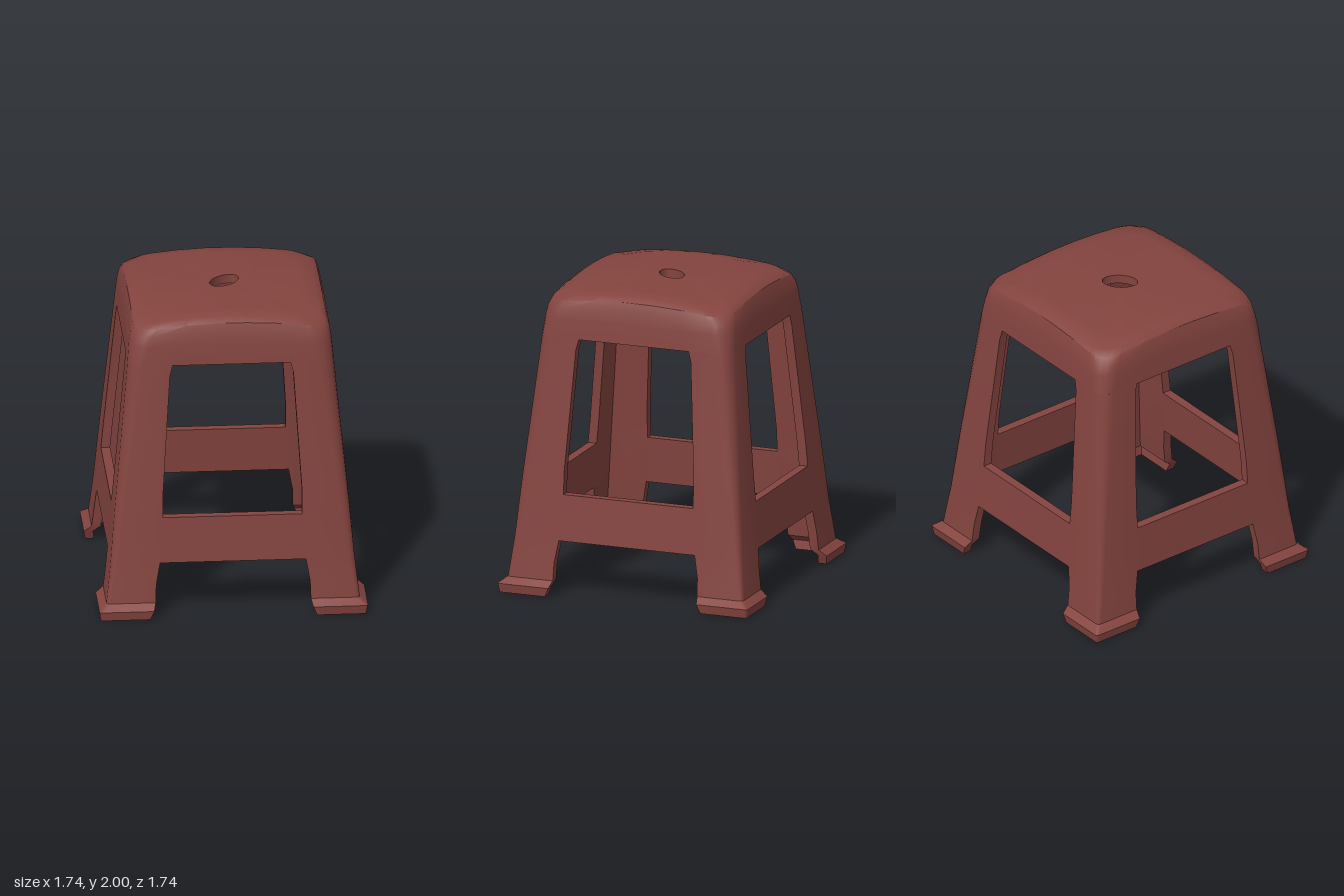
import * as THREE from 'three';
import { toCreasedNormals } from 'three/addons/utils/BufferGeometryUtils.js';

const WALL = 0.06;

// Skin over a list of closed rings; optionally closes the first ring with a flat face.
function loft(rings, capStart = false) {
  const n = rings[0].length;
  const index = [];
  for (let j = 0; j < rings.length - 1; j++) {
    for (let i = 0; i < n; i++) {
      const p = j * n + i, p1 = j * n + (i + 1) % n;
      index.push(p, p + n, p1, p1, p + n, p1 + n);
    }
  }
  if (capStart) {
    const outline = rings[0].map(v => new THREE.Vector2(v.x, v.z));
    index.push(...THREE.ShapeUtils.triangulateShape(outline, []).flat());
  }
  const geo = new THREE.BufferGeometry().setFromPoints(rings.flat());
  geo.setIndex(index);
  return toCreasedNormals(geo, 0.55);
}

// Leg heights: [y, outer half width, inner edge of the leg, corner radius]
const LEG = [
  [0, 0.86, 0.54, 0.015],
  [0.06, 0.87, 0.515, 0.015],
  [0.1, 0.82, 0.502, 0.025],
  [0.22, 0.806, 0.498, 0.03],
  [0.365, 0.79, 0.472, 0.04],
  [0.67, 0.764, 0.45, 0.055],
  [0.83, 0.749, 0.45, 0.06],
  [1.62, 0.673, 0.4, 0.095],
  [1.69, 0.667, 0.382, 0.1],
];

// L-shaped section with a rounded outer corner
function legRing([y, w, a, r]) {
  const pts = [new THREE.Vector3(w, y, a)];
  for (let i = 0; i <= 4; i++) {
    const t = (i / 4) * Math.PI / 2;
    pts.push(new THREE.Vector3(w - r + r * Math.cos(t), y, w - r + r * Math.sin(t)));
  }
  const k = w - WALL;
  pts.push(new THREE.Vector3(a, y, w), new THREE.Vector3(a, y, k),
    new THREE.Vector3(k, y, k), new THREE.Vector3(k, y, a));
  return pts;
}

// Rounded square ring; droop lowers it towards the corners
function seatRing([w, y, r, droop = 0]) {
  const pts = [];
  const c = w - r;
  const add = (x, z, q) => {
    const s = Math.min(Math.abs(x), Math.abs(z)) / w;
    const v = new THREE.Vector3(x, y - droop * s * s, z);
    pts.push(v.applyAxisAngle(new THREE.Vector3(0, 1, 0), -q * Math.PI / 2));
  };
  for (let q = 0; q < 4; q++) {
    for (const f of [-0.6, -0.2, 0.2, 0.6]) add(w, c * f, q);
    for (let i = 0; i <= 5; i++) {
      const t = (i / 5) * Math.PI / 2;
      add(c + r * Math.cos(t), c + r * Math.sin(t), q);
    }
  }
  return pts;
}

// Slanted oval hole, sharing the angles of the seat ring
function holeRing(y, guide) {
  return guide.map(v => {
    const t = Math.atan2(v.z, v.x) + Math.PI / 4;
    const u = 0.115 * Math.cos(t), s = 0.074 * Math.sin(t);
    return new THREE.Vector3((u + s) * Math.SQRT1_2, y, (s - u) * Math.SQRT1_2);
  });
}

function seatGeometry() {
  const outside = [
    [0.667, 1.69, 0.1],
    [0.656, 1.82, 0.12, 0.01],
    [0.645, 1.9, 0.13, 0.03],
    [0.625, 1.96, 0.14, 0.05],
    [0.585, 1.99, 0.15, 0.05],
    [0.48, 2.0, 0.16, 0.025],
  ].map(seatRing);
  const inside = [
    [0.48, 1.94, 0.14, 0.025],
    [0.57, 1.91, 0.1, 0.05],
    [0.595, 1.82, 0.07, 0.01],
    [0.607, 1.69, 0.02],
  ].map(seatRing);
  const guide = outside[5];
  return loft([...outside, holeRing(2.0, guide), holeRing(1.94, guide), ...inside, outside[0]]);
}

// Crossbar between two legs, following the slope of their faces
function railGeometry() {
  const [lo, hi] = [LEG[4], LEG[5]];
  const end = s => [
    new THREE.Vector3(s * lo[2], lo[0], lo[1]),
    new THREE.Vector3(s * hi[2], hi[0], hi[1]),
    new THREE.Vector3(s * hi[2], hi[0], hi[1] - WALL),
    new THREE.Vector3(s * lo[2], lo[0], lo[1] - WALL),
  ];
  return loft([end(-1), end(1)]);
}

export function createModel() {
  const group = new THREE.Group();
  group.name = 'stool';
  const plastic = new THREE.MeshStandardMaterial({ color: 0x84443f });
  plastic.name = 'reddish brown plastic';

  const add = (name, geo, turn = 0) => {
    const mesh = new THREE.Mesh(geo, plastic);
    mesh.name = name;
    mesh.rotation.y = turn * Math.PI / 2;
    group.add(mesh);
  };

  add('seat', seatGeometry());

  // Four legs and four crossbars, each turned by a quarter
  const leg = loft(LEG.map(legRing), true);
  const rail = railGeometry();
  const legNames = ['frontLeftLeg', 'backLeftLeg', 'backRightLeg', 'frontRightLeg'];
  const railNames = ['frontRail', 'leftRail', 'backRail', 'rightRail'];
  for (let i = 0; i < 4; i++) {
    add(legNames[i], leg, i);
    add(railNames[i], rail, i);
  }
  return group;
}
